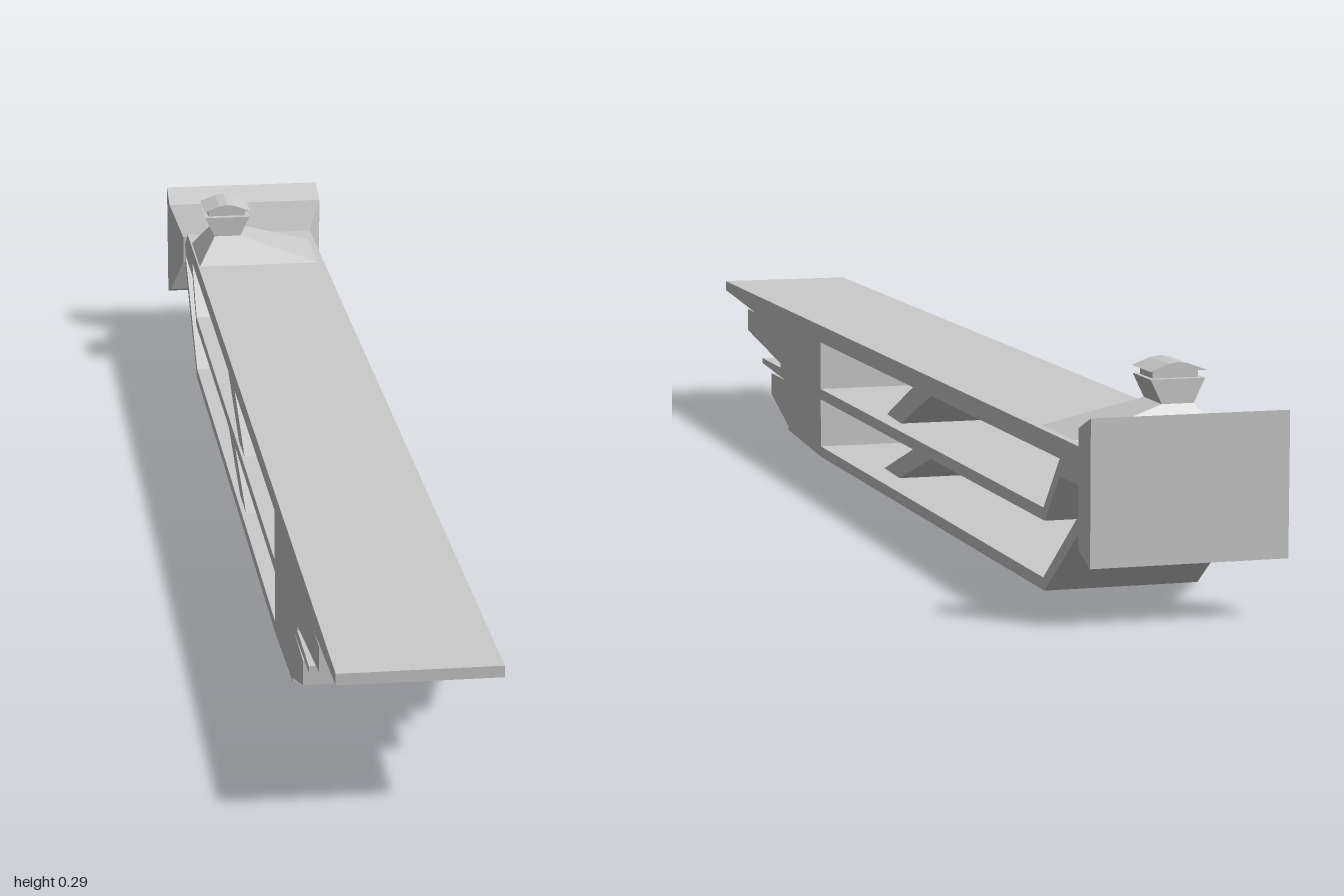
import * as THREE from 'three';

const material = new THREE.MeshStandardMaterial({ color: 0xcccccc, flatShading: true });

function addMesh(group, name, geometry) {
  const mesh = new THREE.Mesh(geometry, material);
  mesh.name = name;
  group.add(mesh);
  return mesh;
}

// Stack of rectangles [height, x0, x1, z0, z1] joined into a closed solid
function loft(rings) {
  const pos = [];
  const corners = rings.map(([h, x0, x1, z0, z1]) =>
    [[x0, h, z1], [x1, h, z1], [x1, h, z0], [x0, h, z0]]);
  const quad = (a, b, c, d) => pos.push(...a, ...b, ...c, ...a, ...c, ...d);
  for (let r = 0; r < corners.length - 1; r++) {
    for (let i = 0; i < 4; i++) {
      const j = (i + 1) % 4;
      quad(corners[r][i], corners[r][j], corners[r + 1][j], corners[r + 1][i]);
    }
  }
  const [a, b, c, d] = corners[0];
  quad(d, c, b, a);
  quad(...corners[corners.length - 1]);
  const geometry = new THREE.BufferGeometry();
  geometry.setAttribute('position', new THREE.Float32BufferAttribute(pos, 3));
  geometry.computeVertexNormals();
  return geometry;
}

const toPoints = (list) => list.map(([x, y]) => new THREE.Vector2(x, y));

export function createModel() {
  const model = new THREE.Group();

  // Hull side profile in (z, y): flat deck, stepped bow, raked stern
  const hull = new THREE.Shape(toPoints([
    [1, 0.203], [1, 0.188], [0.79, 0.174], [0.84, 0.174], [0.84, 0.139],
    [0.58, 0.107], [0.62, 0.112], [0.62, 0.105], [0.74, 0.105], [0.74, 0.097],
    [0.59, 0.089], [0.68, 0.088], [0.68, 0.054], [0.57, 0.018], [0.57, 0.012],
    [0.365, 0], [-0.75, 0], [-0.945, 0.138], [-0.945, 0.17], [-0.89, 0.203],
  ]));
  // Open bays, with sloping ramps hanging from each ceiling
  hull.holes.push(new THREE.Path(toPoints([
    [0.365, 0.105], [0.365, 0.177], [-0.15, 0.177], [-0.015, 0.12], [-0.09, 0.117],
    [-0.24, 0.177], [-0.81, 0.177], [-0.745, 0.105],
  ])));
  hull.holes.push(new THREE.Path(toPoints([
    [0.365, 0.016], [0.365, 0.089], [-0.15, 0.089], [0, 0.039], [-0.08, 0.037],
    [-0.24, 0.089], [-0.75, 0.089], [-0.81, 0.155], [-0.935, 0.155], [-0.745, 0.016],
  ])));
  const hullGeometry = new THREE.ExtrudeGeometry(hull, { depth: 0.204, bevelEnabled: false });
  hullGeometry.translate(0, 0, -0.102).rotateY(-Math.PI / 2);
  addMesh(model, 'hull', hullGeometry);

  // Rear block, lofted forward and narrowing into the hull
  const rear = loft([
    [-1, -0.126, 0.126, -0.255, -0.074],
    [-0.955, -0.126, 0.126, -0.237, -0.09],
    [-0.938, -0.105, 0.105, -0.185, -0.143],
  ]).rotateX(Math.PI / 2);
  addMesh(model, 'rearBlock', rear);

  // Off-centre tower: wide foot, pinched waist, flared bridge, narrow neck
  const tower = new THREE.Group();
  tower.name = 'tower';
  model.add(tower);
  addMesh(tower, 'towerBase', loft([
    [0.2, -0.102, 0.102, -0.842, -0.7],
    [0.24, -0.071, -0.029, -0.815, -0.748],
    [0.271, -0.086, -0.014, -0.815, -0.748],
  ]));
  addMesh(tower, 'towerNeck', loft([
    [0.27, -0.08, -0.02, -0.805, -0.758],
    [0.282, -0.08, -0.02, -0.805, -0.758],
  ]));

  // Arched roof
  const roof = new THREE.Shape(toPoints([
    [-0.087, 0.281], [-0.013, 0.281], [-0.037, 0.29], [-0.05, 0.292], [-0.063, 0.29],
  ]));
  const roofGeometry = new THREE.ExtrudeGeometry(roof, { depth: 0.07, bevelEnabled: false });
  roofGeometry.translate(0, 0, -0.817);
  addMesh(tower, 'towerRoof', roofGeometry);

  return model;
}
